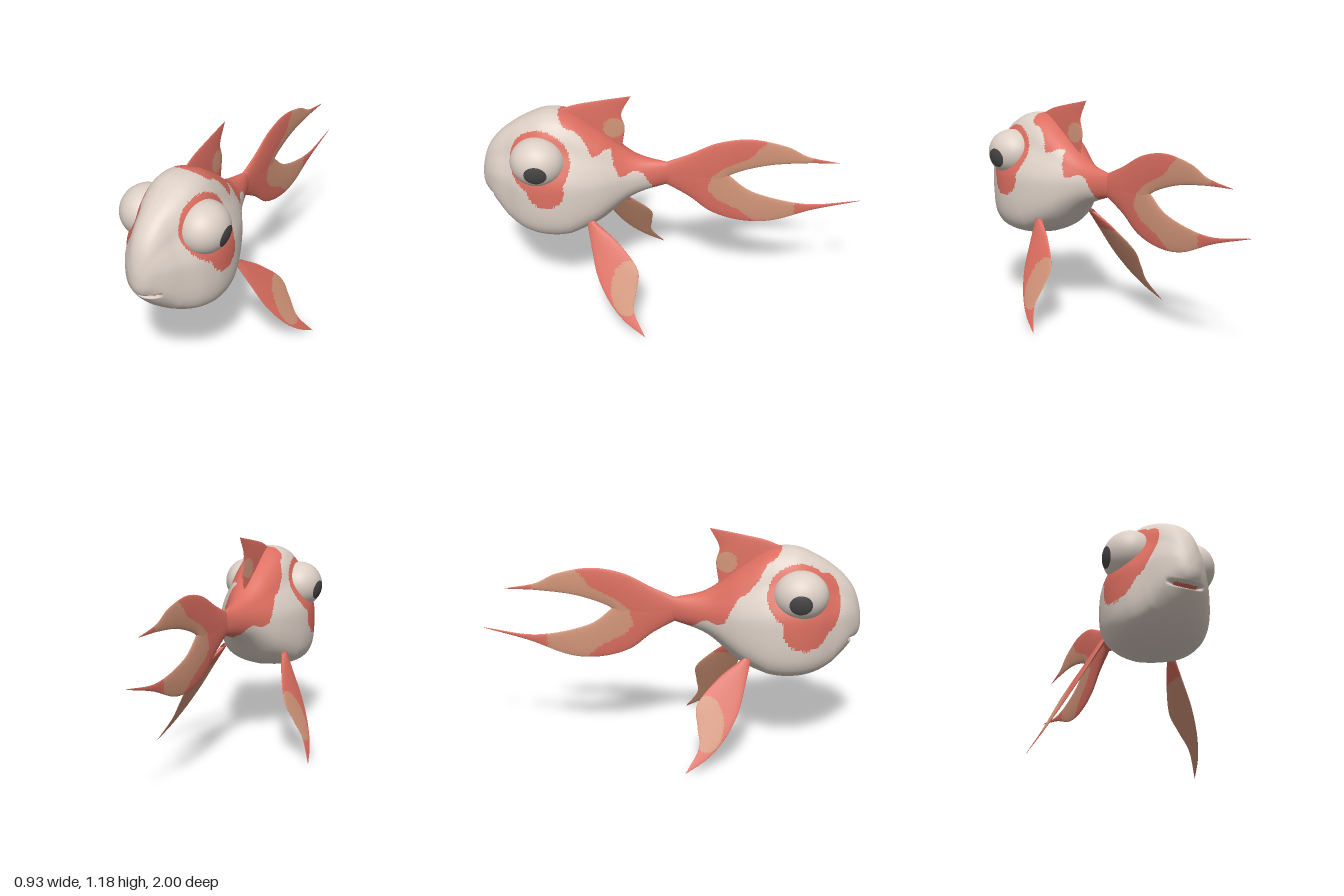
import * as THREE from 'three';

const skin = new THREE.MeshStandardMaterial({ name: 'paleSkin', color: 0xdccfc5 });
const coral = new THREE.MeshStandardMaterial({ name: 'coralRed', color: 0xdc6e60, side: THREE.DoubleSide });
const tan = new THREE.MeshStandardMaterial({ name: 'tanFin', color: 0xd29478, side: THREE.DoubleSide });
const dark = new THREE.MeshStandardMaterial({ name: 'pupilGrey', color: 0x484848 });

// Piecewise linear lookup in a list of [key, value]
function lookup(list, k) {
  if (k <= list[0][0]) return list[0][1];
  for (let i = 1; i < list.length; i++) {
    const [k0, v0] = list[i - 1], [k1, v1] = list[i];
    if (k <= k1) return v0 + (v1 - v0) * (k - k0) / (k1 - k0);
  }
  return list[list.length - 1][1];
}
const inEllipse = (z, y, cz, cy, rz, ry) => ((z - cz) / rz) ** 2 + ((y - cy) / ry) ** 2 < 1;

// Smooth tube-like grid, closed around; paint() picks a material index per triangle
function surface(name, rows, cols, point, materials, paint) {
  const pts = [];
  for (let i = 0; i <= rows; i++) {
    for (let j = 0; j < cols; j++) pts.push(point(i / rows, j / cols));
  }
  const lists = materials.map(() => []);
  const centre = new THREE.Vector3();
  const add = (...t) => {
    centre.set(0, 0, 0);
    t.forEach((k) => centre.addScaledVector(pts[k], 1 / 3));
    lists[paint(centre)].push(...t);
  };
  for (let i = 0; i < rows; i++) {
    for (let j = 0; j < cols; j++) {
      const a = i * cols + j, b = i * cols + (j + 1) % cols;
      add(a, b, a + cols);
      add(b, b + cols, a + cols);
    }
  }
  const geo = new THREE.BufferGeometry().setFromPoints(pts);
  geo.setIndex(lists.flat());
  let start = 0;
  lists.forEach((l, m) => { geo.addGroup(start, l.length, m); start += l.length; });
  geo.computeVertexNormals();
  const mesh = new THREE.Mesh(geo, materials);
  mesh.name = name;
  return mesh;
}

const curve = (pts) => new THREE.CatmullRomCurve3(pts.map(([x, y, z = 0]) => new THREE.Vector3(x, y, z)), false, 'catmullrom');

// Lens-section fin between two edges given as [z, y]; place(z, y, offset) gives the point
function fin(name, edgeA, edgeB, thick, place, paint) {
  const A = curve(edgeA), B = curve(edgeB);
  return surface(name, 64, 56, (u, w) => {
    const phi = w * Math.PI * 2;
    const p = A.getPoint(u).lerp(B.getPoint(u), (1 - Math.cos(phi)) / 2);
    return place(p.x, p.y, thick * (1.04 - u) * Math.sin(phi));
  }, [coral, tan], paint);
}

// Body: top, bottom and half width at even steps of s, with z = 1 - s * s
const sections = curve([
  [.69, .67, 0], [.77, .625, .04], [.86, .585, .08], [.93, .525, .125], [.99, .465, .17], [1.045, .42, .225],
  [1.085, .40, .255], [1.07, .41, .245], [.975, .47, .19], [.85, .61, .09], [.805, .685, .02],
]);
// Half section: pinched forehead, full cheeks, flattened belly
const headHalf = curve([
  [0, 1], [.2, .99], [.4, .95], [.56, .87], [.68, .76], [.84, .65], [.97, .53], [1, .4],
  [.99, .25], [.93, .145], [.78, .07], [.45, .02], [0, 0],
]);
const headBlend = [[0, 0], [.15, .1], [.5, 1], [.85, 1], [1, .3]];

function mouthDent(x, y, z) {
  if (z < .82 || Math.abs(x) > .1) return 0;
  const q = (x / .1) ** 2;
  return Math.max(0, 1 - Math.abs(y - .594 - .022 * q) / .014) * (1 - q) * .045;
}

function bodyPoint(u, w) {
  const s = sections.getPoint(u), z = 1 - u * u;
  const side = w <= .5 ? 1 : -1, a = w <= .5 ? w * 2 : 2 - w * 2;
  const h = headHalf.getPointAt(a), k = lookup(headBlend, z);
  const fx = THREE.MathUtils.lerp(Math.sin(a * Math.PI), h.x, k);
  const fy = THREE.MathUtils.lerp((1 + Math.cos(a * Math.PI)) / 2, h.y, k);
  const x = side * fx * s.z, y = s.y + (s.x - s.y) * fy;
  return new THREE.Vector3(x, y, z - mouthDent(x, y, z));
}

// Lower limit of the coral saddle on the back, per side, as [z, y]
const saddleRight = [[.06, .6], [.1, .72], [.13, .77], [.25, .78], [.28, .83], [.3, .9], [.38, .9], [.42, .95], [.5, 1.03], [.6, 1.09], [.62, 2]];
const saddleLeft = [[.06, .6], [.1, .67], [.2, .70], [.28, .71], [.32, .78], [.36, .86], [.45, .92], [.5, 1.03], [.6, 1.09], [.62, 2]];

function paintBody({ x, y, z }) {
  if (z > .82 && Math.abs(x) < .06 && Math.abs(y - .595 - 2.2 * x * x) < .007) return 1;
  const wobble = .012 * Math.sin(z * 45);
  if (y > lookup(x > 0 ? saddleRight : saddleLeft, z) + wobble) return 1;
  if (Math.abs(x) < .06) return 0;
  if (inEllipse(z, y, .655, .865, .162, .155)) return 1;
  if (x > 0) return inEllipse(z, y, .62, .73, .1, .09) ? 1 : 0;
  return inEllipse(z, y, .79, .82, .085, .15) || inEllipse(z, y, .69, .7, .12, .11) ? 1 : 0;
}

// Front limit of the tan area on the tail as [y, z]
const tailTan = [[.47, -.46], [.55, -.36], [.6, -.25], [.66, -.2], [.74, -.22], [.8, -.3], [.86, -.42], [.95, -.5]];
const paintTail = ({ y, z }) => (z < lookup(tailTan, y) && z > (y > .74 ? -.74 : -.66) ? 1 : 0);

function eye(side) {
  const g = new THREE.Group();
  g.name = side > 0 ? 'leftEye' : 'rightEye';
  const ball = new THREE.Mesh(new THREE.SphereGeometry(1, 48, 32), skin);
  ball.name = 'eyeball';
  const pupil = new THREE.Mesh(new THREE.SphereGeometry(1.012, 32, 8, 0, Math.PI * 2, 0, .42), dark);
  pupil.name = 'pupil';
  pupil.quaternion.setFromUnitVectors(new THREE.Vector3(0, 1, 0), new THREE.Vector3(side, -.18, -.07).normalize());
  g.add(ball, pupil);
  g.scale.set(.126, .129, .143);
  g.position.set(side * .163, .865, .665);
  return g;
}

function pectoralFin(side) {
  const spread = (y) => .2 + (.5 - y) * .53;
  return fin(side > 0 ? 'leftPectoralFin' : 'rightPectoralFin',
    [[.42, .54], [.39, .42], [.35, .28], [.28, .16], [.19, .07], [.08, .003]],
    [[.36, .52], [.25, .44], [.14, .32], [.14, .22], [.148, .12], [.08, .003]],
    .014,
    (z, y, o) => new THREE.Vector3(side * spread(y) - o, y, z),
    ({ x, y, z }) => {
      if (side * x < spread(y)) return y < .42 && y > .03 ? 1 : 0;
      return inEllipse(z, y, .19, .23, .085, .13) ? 1 : 0;
    });
}

export function createModel() {
  const fish = new THREE.Group();
  fish.name = 'fish';
  const flat = (z, y, o) => new THREE.Vector3(o, y, z);

  fish.add(surface('body', 150, 160, bodyPoint, [skin, coral], paintBody));

  // Forked tail, lobes overlapping at the root
  fish.add(fin('tailUpperLobe',
    [[.04, .80], [-.1, .86], [-.25, .935], [-.42, .965], [-.6, .935], [-.72, .88], [-.88, .852]],
    [[.04, .69], [-.1, .64], [-.24, .66], [-.32, .75], [-.5, .815], [-.7, .842], [-.88, .85]],
    .021, flat, paintTail));
  fish.add(fin('tailLowerLobe',
    [[.04, .69], [-.1, .61], [-.22, .52], [-.38, .475], [-.55, .485], [-.76, .565], [-1, .633]],
    [[.04, .80], [-.1, .83], [-.24, .82], [-.32, .74], [-.45, .65], [-.72, .597], [-1, .635]],
    .021, flat, paintTail));

  fish.add(fin('dorsalFin',
    [[.6, 1.07], [.5, 1.115], [.36, 1.148], [.2, 1.18]],
    [[.25, .89], [.235, 1.0], [.25, 1.08], [.2, 1.18]],
    .016, flat, ({ y, z }) => (inEllipse(z, y, .29, 1.0, .055, .055) ? 1 : 0)));

  for (const side of [1, -1]) fish.add(eye(side), pectoralFin(side));
  return fish;
}
